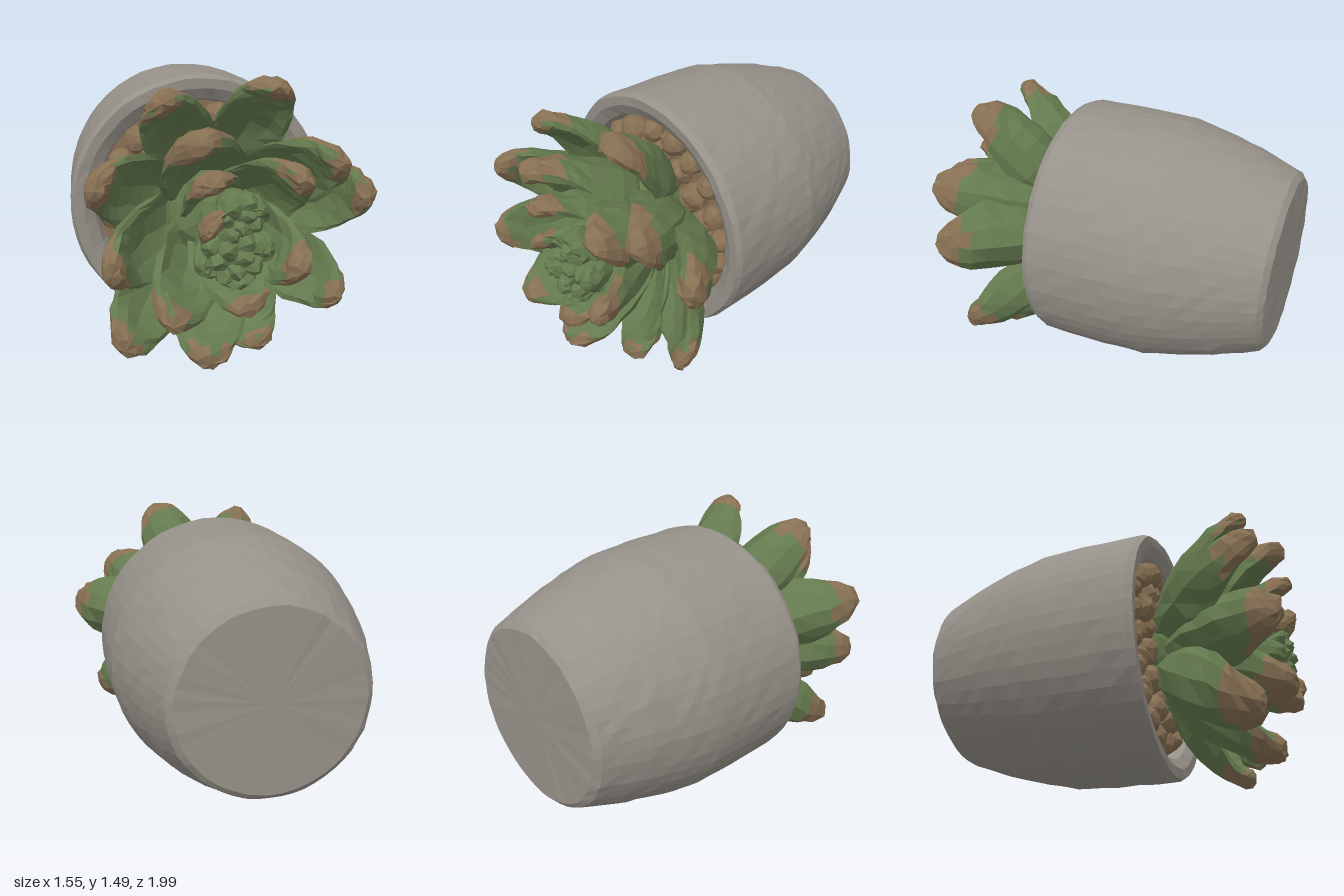
import * as THREE from 'three';

const mat = (name, color) => {
  const m = new THREE.MeshStandardMaterial({ color, flatShading: true });
  m.name = name;
  return m;
};

// Repeatable noise in -1..1 from a position
const noise = (x, y, z) => {
  const r = (n) => Math.round(n * 500);
  const s = Math.sin(r(x) * 12.9898 + r(y) * 78.233 + r(z) * 37.719) * 43758.5453;
  return (s - Math.floor(s)) * 2 - 1;
};

function roughen(geo, amount) {
  const p = geo.attributes.position;
  for (let i = 0; i < p.count; i++) {
    const x = p.getX(i), y = p.getY(i), z = p.getZ(i);
    p.setXYZ(i, x + amount * noise(x, y, z), y + amount * noise(y, z, x), z + amount * noise(z, x, y));
  }
  geo.computeVertexNormals();
  return geo;
}

// Relative half width along a leaf: [t, width]
const WIDTHS = [[0, 0.5], [0.12, 0.72], [0.25, 0.9], [0.38, 1], [0.52, 1], [0.66, 0.97],
  [0.77, 0.87], [0.84, 0.76], [0.9, 0.64], [0.95, 0.5], [1, 0.28]];

// Spoon-shaped leaf growing from a centre to its tip, cupped towards the centre
function leafGeometry(centre, tip, width, baseZ) {
  const SIDES = 12;
  const dir = new THREE.Vector3(tip.x - centre.x, tip.y - centre.y, 0);
  const reach = dir.length();
  dir.normalize();
  const side = dir.clone().cross(new THREE.Vector3(0, 0, 1));
  const at = (r, z) => new THREE.Vector3(centre.x + dir.x * r, centre.y + dir.y * r, z);
  const spine = new THREE.QuadraticBezierCurve3(
    at(reach * 0.25, baseZ), at(reach * 0.86, baseZ + (tip.z - baseZ) * 0.28), tip);
  const pos = [], green = [], brown = [];
  WIDTHS.forEach(([t, rel]) => {
    const p = spine.getPoint(t), out = spine.getTangent(t).cross(side);
    const w = width * rel;
    const curl = 0.65 * w * Math.min(1, (1 - t) * 2.5);
    const thick = Math.min(width * 0.3, w * 0.7);
    for (let k = 0; k < SIDES; k++) {
      const a = (k / SIDES) * Math.PI * 2, c = Math.cos(a);
      const q = p.clone().addScaledVector(side, w * c)
        .addScaledVector(out, thick * Math.sin(a) - curl * c * c);
      pos.push(q.x, q.y, q.z);
    }
  });
  const last = (WIDTHS.length - 1) * SIDES;
  const end = tip.clone().addScaledVector(spine.getTangent(1), width * 0.08);
  pos.push(end.x, end.y, end.z);
  // The brown reaches further down the back of the leaf than the inside
  for (let i = 0; i < WIDTHS.length - 1; i++) {
    for (let k = 0; k < SIDES; k++) {
      const a = i * SIDES + k, b = i * SIDES + ((k + 1) % SIDES);
      const ragged = 0.05 * noise(pos[a * 3], pos[a * 3 + 1], k);
      const tipStart = k < SIDES / 2 ? 0.79 : 0.91;
      const list = WIDTHS[i][0] + ragged > tipStart ? brown : green;
      list.push(a, b, b + SIDES, a, b + SIDES, a + SIDES);
    }
  }
  for (let k = 0; k < SIDES; k++) brown.push(last + k, last + ((k + 1) % SIDES), last + SIDES);
  const geo = new THREE.BufferGeometry();
  geo.setAttribute('position', new THREE.Float32BufferAttribute(pos, 3));
  geo.setIndex([...green, ...brown]);
  geo.addGroup(0, green.length, 0);
  geo.addGroup(green.length, brown.length, 1);
  return roughen(geo, 0.009);
}

export function createModel() {
  const stone = mat('potGrey', 0x969189);
  const leafGreen = mat('leafGreen', 0x647a4e);
  const tipBrown = mat('tipBrown', 0x877053);
  const model = new THREE.Group();
  const add = (name, geo, material, parent = model) => {
    const m = new THREE.Mesh(geo, material);
    m.name = name;
    parent.add(m);
    return m;
  };
  const POT = new THREE.Vector3(-0.07, 0.743, 0);

  // Pot lying on its side, mouth towards the front
  const outline = [[0, -1], [0.47, -0.998], [0.505, -0.97], [0.59, -0.74], [0.65, -0.53], [0.69, -0.35],
    [0.703, -0.1], [0.705, 0.23], [0.688, 0.265], [0.635, 0.262], [0.575, 0.225], [0.545, 0.12]];
  const profile = [];
  outline.forEach(([r, z], i) => {
    profile.push(new THREE.Vector2(r, z));
    const next = outline[i + 1];
    if (next && i >= 2 && i <= 6) {
      for (const f of [1 / 3, 2 / 3]) {
        profile.push(new THREE.Vector2(r + (next[0] - r) * f, z + (next[1] - z) * f));
      }
    }
  });
  const potGeo = new THREE.LatheGeometry(profile, 52).rotateX(Math.PI / 2);
  add('pot', roughen(potGeo, 0.003), stone).position.copy(POT);

  // Soil and pebbles
  const soil = new THREE.Group();
  soil.name = 'soil';
  soil.position.copy(POT);
  model.add(soil);
  add('soilBed', new THREE.CircleGeometry(0.56, 40), tipBrown, soil).position.z = 0.15;
  [[0.48, 19], [0.37, 15], [0.27, 11]].forEach(([r, n], ring) => {
    for (let i = 0; i < n; i++) {
      const a = ((i + ring * 0.5) / n) * Math.PI * 2;
      const size = 0.078 + 0.012 * noise(i, ring, 3);
      const pebble = add('pebble', new THREE.IcosahedronGeometry(size, 1), tipBrown, soil);
      roughen(pebble.geometry, 0.008);
      pebble.position.set(r * Math.cos(a), r * Math.sin(a), 0.17 + 0.02 * noise(ring, i, 5));
      pebble.rotation.set(i, ring, i * 2);
    }
  });

  // Rosette leaves: [tip x, tip y, tip z, half width, base z]
  const rosette = new THREE.Group();
  rosette.name = 'rosette';
  model.add(rosette);
  const centre = new THREE.Vector3(-0.03, 0.75, 0);
  const leaves = [
    // outer ring
    [0.22, 1.45, 0.74, 0.19, 0.22], [-0.33, 1.4, 0.77, 0.19, 0.22], [0.72, 0.88, 0.71, 0.21, 0.22],
    [-0.66, 1.03, 0.86, 0.2, 0.24], [0.51, 1.1, 0.85, 0.2, 0.26], [-0.6, 0.65, 0.95, 0.2, 0.28],
    [-0.54, 0.2, 0.83, 0.21, 0.24], [0.6, 0.3, 0.66, 0.19, 0.22], [0.17, 0.05, 0.65, 0.19, 0.22],
    [-0.13, 0.1, 0.86, 0.22, 0.24],
    // inner ring
    [-0.32, 0.38, 0.97, 0.2, 0.32], [0.04, 0.42, 0.96, 0.2, 0.38], [0.3, 0.6, 0.95, 0.2, 0.38],
    [-0.2, 1.23, 0.95, 0.23, 0.3], [-0.14, 1.05, 0.97, 0.17, 0.42], [0.3, 1.04, 0.93, 0.19, 0.36],
    [-0.14, 0.84, 0.98, 0.13, 0.5],
  ];
  leaves.forEach(([x, y, z, w, base], i) => {
    const geo = leafGeometry(centre, new THREE.Vector3(x, y, z), w, base);
    add(i < 10 ? 'outerLeaf' : 'innerLeaf', geo, [leafGreen, tipBrown], rosette);
  });

  // All-green leaves cupping the heart
  const heart = new THREE.Vector3(-0.01, 0.69, 0);
  [[0.01, 0.53, 0.9, 0.15], [0.15, 0.7, 0.9, 0.13], [-0.17, 0.62, 0.91, 0.13], [0.1, 0.9, 0.9, 0.12]]
    .forEach(([x, y, z, w]) => add('heartLeaf', leafGeometry(heart, new THREE.Vector3(x, y, z), w, 0.5),
      [leafGreen, leafGreen], rosette));

  // Stem joining the leaf bases
  const stem = add('stem', roughen(new THREE.IcosahedronGeometry(0.28, 2), 0.01), leafGreen, rosette);
  stem.position.set(-0.03, 0.75, 0.34);

  // Domed buds of closed young leaves: [x, y, radius, top z, leaf count]
  [[-0.01, 0.67, 0.17, 0.95, 13], [0.01, 0.87, 0.11, 0.92, 6]].forEach(([x, y, r, top, n]) => {
    const bud = new THREE.Group();
    bud.name = 'bud';
    rosette.add(bud);
    const core = add('budCore', new THREE.IcosahedronGeometry(r * 0.85, 2), leafGreen, bud);
    core.scale.z = 1.5;
    core.position.set(x, y, top - 0.03 - r * 1.275);
    for (let i = 0; i < n; i++) {
      const a = i * 2.4, d = (r - 0.04) * Math.sqrt((i + 0.3) / n);
      const lump = add('youngLeaf', roughen(new THREE.IcosahedronGeometry(0.06, 1), 0.006), leafGreen, bud);
      lump.scale.z = 1.5;
      lump.position.set(x + d * Math.cos(a), y + d * Math.sin(a), top - 0.08 - 3.5 * d * d);
      lump.rotation.set(-0.4 * Math.sin(a), 0.4 * Math.cos(a), i);
    }
  });
  return model;
}
